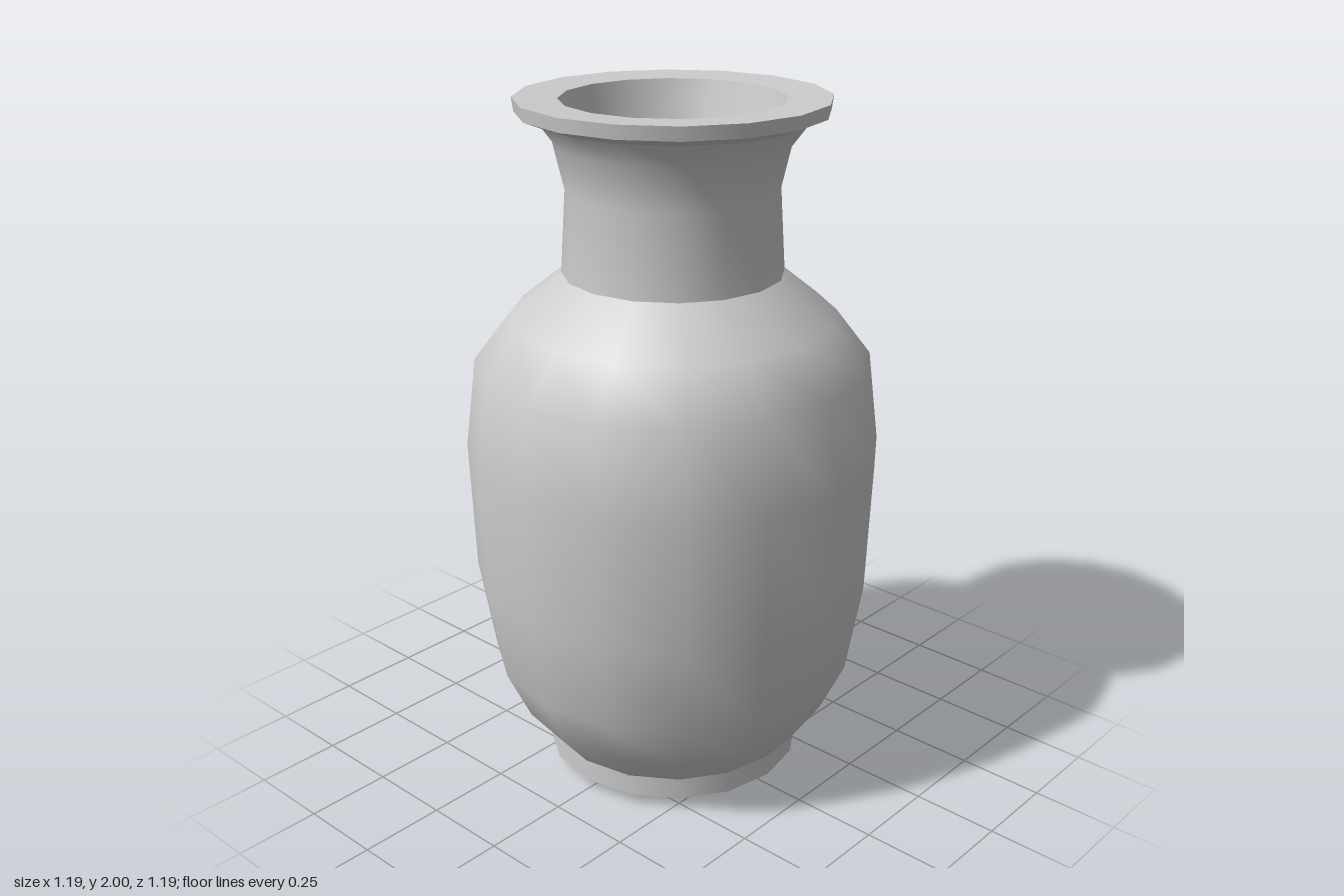
import * as THREE from 'three';

const SIDES = 16;
const material = new THREE.MeshStandardMaterial({ color: 0xcccccc, side: THREE.DoubleSide });

// Each section is its own lathe, so shading is smooth within and sharp between sections.
function section(name, profile) {
  const points = profile.map(([r, y]) => new THREE.Vector2(r, y));
  const mesh = new THREE.Mesh(new THREE.LatheGeometry(points, SIDES), material);
  mesh.name = name;
  return mesh;
}

export function createModel() {
  const vase = new THREE.Group();
  vase.name = 'vase';

  vase.add(
    // slightly conical underside and the foot ring
    section('base', [[0, 0.005], [0.38, 0.04]]),
    section('foot', [[0.38, 0.04], [0.38, 0.105]]),
    // swelling body up to the shoulder
    section('body', [
      [0.38, 0.105], [0.465, 0.21], [0.535, 0.36], [0.58, 0.63],
      [0.593, 1.01], [0.56, 1.27], [0.46, 1.4], [0.31, 1.52],
    ]),
    // neck flaring out under the lip
    section('neck', [[0.31, 1.52], [0.295, 1.75], [0.325, 1.88], [0.37, 1.94]]),
    section('lipUnderside', [[0.37, 1.94], [0.425, 1.962]]),
    section('lipEdge', [[0.425, 1.962], [0.43, 2]]),
    section('lipTop', [[0.43, 2], [0.308, 1.995]]),
    // hollow interior following the outer wall
    section('interior', [
      [0.308, 1.995], [0.285, 1.89], [0.25, 1.75], [0.265, 1.5],
      [0.42, 1.37], [0.515, 1.25], [0.545, 1.01], [0.535, 0.64],
      [0.49, 0.38], [0.425, 0.24], [0.34, 0.13], [0, 0.1],
    ]),
  );
  return vase;
}
